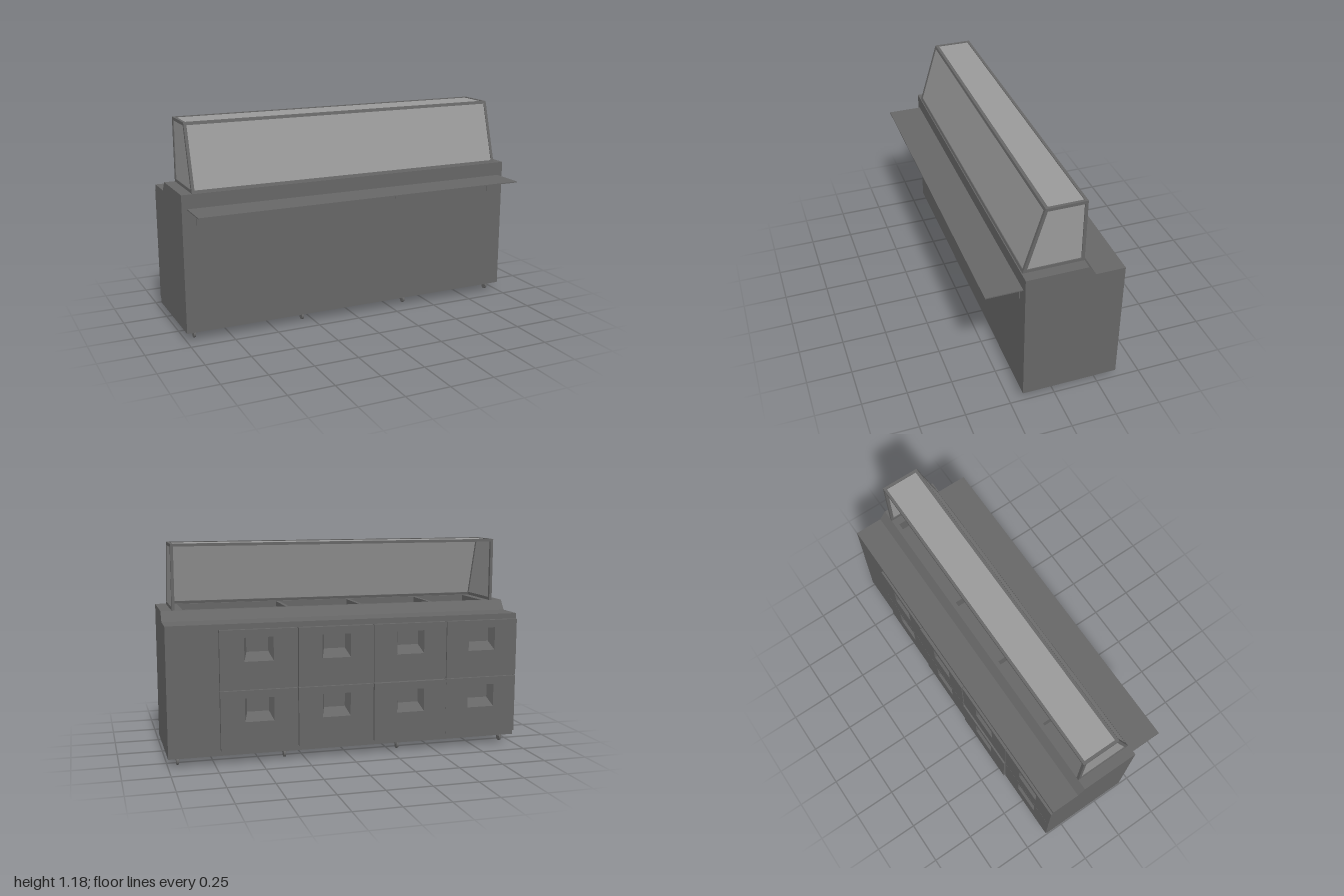
import * as THREE from 'three';

const steel = new THREE.MeshStandardMaterial({ color: 0x666666, side: THREE.DoubleSide });
const glass = new THREE.MeshStandardMaterial({ color: 0x999999, side: THREE.DoubleSide });

export function createModel() {
  const root = new THREE.Group();

  const add = (name, geo, mat = steel, parent = root) => {
    const mesh = new THREE.Mesh(geo, mat);
    mesh.name = name;
    parent.add(mesh);
    return mesh;
  };
  const group = (name) => {
    const g = new THREE.Group();
    g.name = name;
    root.add(g);
    return g;
  };
  // Box given by its limits
  const box = (name, x0, x1, y0, y1, z0, z1, parent, mat) => {
    const m = add(name, new THREE.BoxGeometry(x1 - x0, y1 - y0, z1 - z0), mat, parent);
    m.position.set((x0 + x1) / 2, (y0 + y1) / 2, (z0 + z1) / 2);
    return m;
  };
  // Side profile of [z, y] points run along x
  const prism = (name, pts, x0, x1, parent, mat, hole) => {
    const toV = ([z, y]) => new THREE.Vector2(-z, y);
    const shape = new THREE.Shape(pts.map(toV));
    if (hole) shape.holes.push(new THREE.Path(hole.map(toV)));
    const geo = new THREE.ExtrudeGeometry(shape, { depth: x1 - x0, bevelEnabled: false });
    geo.rotateY(Math.PI / 2).translate(x0, 0, 0);
    return add(name, geo, mat, parent);
  };

  // Cabinet, in slices: some have the food well, some the drawer bay
  const cabinet = group('cabinet');
  const BACK = -0.357, FRONT = 0.18, BAY = -0.3;
  const profile = (well, bay) => [
    [FRONT, 0.05], [FRONT, 0.82],
    ...(well ? [[0.145, 0.82], [0.145, 0.74], [-0.13, 0.74], [-0.13, 0.82]] : []),
    [-0.155, 0.82], [-0.195, 0.765], [BACK, 0.765],
    ...(bay ? [[BACK, 0.735], [BAY, 0.735], [BAY, 0.075], [BACK, 0.075]] : []),
    [BACK, 0.05],
  ];
  [
    [-1, -0.99, false, false], [-0.99, -0.88, false, true], [-0.88, 0.72, true, true],
    [0.72, 0.88, true, false], [0.88, 1, false, false],
  ].forEach(([x0, x1, well, bay]) => prism('cabinetBody', profile(well, bay), x0, x1, cabinet));

  // Dividers between the food pans
  for (const x of [0.29, -0.14, -0.57]) {
    box('panDivider', x - 0.01, x + 0.01, 0.74, 0.817, -0.13, 0.145, cabinet);
  }

  // Drawers on the back, each with a scooped finger pull
  const drawers = group('drawers');
  const rect = (C, x0, x1, y0, y1) => {
    const s = new C();
    s.moveTo(x0, y0);
    s.lineTo(x1, y0);
    s.lineTo(x1, y1);
    s.lineTo(x0, y1);
    s.closePath();
    return s;
  };
  const pullGeometry = (cx, cy, z) => {
    const w = 0.08, h = 0.065, d = 0.05;
    const pos = [
      [-w, -h, 0], [w, -h, 0], [w, h, 0], [-w, h, 0],
      [-w + 0.02, -h + 0.045, d], [w - 0.02, -h + 0.045, d], [w - 0.02, h, d], [-w + 0.02, h, d],
    ].flatMap(([x, y, dz]) => [cx + x, cy + y, z + dz]);
    const index = [4, 6, 5, 4, 7, 6];
    for (let i = 0; i < 4; i++) {
      const j = (i + 1) % 4;
      index.push(i, j + 4, j, i, i + 4, j + 4);
    }
    const geo = new THREE.BufferGeometry();
    geo.setAttribute('position', new THREE.Float32BufferAttribute(pos, 3));
    geo.setIndex(index);
    const flat = geo.toNonIndexed();
    flat.computeVertexNormals();
    return flat;
  };
  const columns = [[0.29, 0.72, -0.368], [-0.14, 0.29, -0.373], [-0.57, -0.14, -0.37], [-1, -0.57, -0.37]];
  columns.forEach(([x0, x1, faceZ], c) => {
    [0.075, 0.405].forEach((y0, r) => {
      const z = c === 2 && r === 0 ? -0.379 : faceZ; // one drawer stands slightly open
      const cx = (x0 + x1) / 2, cy = y0 + 0.22;
      const s = rect(THREE.Shape, c === 3 ? x0 : x0 + 0.002, x1 - 0.002, y0 + 0.002, y0 + 0.328);
      s.holes.push(rect(THREE.Path, cx - 0.08, cx + 0.08, cy - 0.065, cy + 0.065));
      const geo = new THREE.ExtrudeGeometry(s, { depth: BAY - z, bevelEnabled: false });
      add('drawerFront', geo.translate(0, 0, z), steel, drawers);
      add('drawerPull', pullGeometry(cx, cy, z), steel, drawers);
    });
  });

  // Glass guard: two end frames, long rails and panes, open to the back
  const guard = group('glassGuard');
  const slope = (y) => 0.175 - (0.11 * (y - 0.82)) / 0.36;
  const outer = [[0.175, 0.82], [0.065, 1.18], [-0.155, 1.18], [-0.155, 0.82]];
  const inner = [[0.152, 0.837], [0.054, 1.163], [-0.138, 1.163], [-0.138, 0.837]];
  for (const s of [-1, 1]) {
    const x = s * 0.932;
    prism('endFrame', outer, x - 0.008, x + 0.008, guard, steel, inner);
    prism('endPane', inner, x - 0.003, x + 0.003, guard, glass);
  }
  const slanted = (y0, y1, inset, t) => [
    [slope(y0) - inset, y0], [slope(y1) - inset, y1],
    [slope(y1) - inset - t, y1], [slope(y0) - inset - t, y0],
  ];
  const L = 0.925;
  prism('frontBottomRail', slanted(0.82, 0.835, 0, 0.017), -L, L, guard);
  prism('frontTopRail', slanted(1.165, 1.18, 0, 0.017), -L, L, guard);
  prism('frontPane', slanted(0.835, 1.165, 0.004, 0.006), -L, L, guard, glass);
  box('backTopRail', -L, L, 1.165, 1.18, -0.155, -0.14, guard);
  box('topPane', -L, L, 1.17, 1.176, -0.14, 0.05, guard, glass);

  // Tray shelf on thin L-shaped brackets
  const shelf = group('trayShelf');
  box('shelfBoard', -0.97, 0.97, 0.736, 0.742, FRONT, 0.378, shelf);
  for (const x of [-0.91, -0.28, 0.28, 0.91]) {
    prism('shelfBracket',
      [[FRONT, 0.65], [0.185, 0.65], [0.185, 0.731], [0.28, 0.731], [0.28, 0.737], [FRONT, 0.737]],
      x - 0.015, x + 0.015, shelf);
  }

  // Casters
  const casters = group('casters');
  for (const x of [-0.945, -0.305, 0.355, 0.945]) {
    for (const z of [0.12, -0.29]) {
      const wheel = add('casterWheel', new THREE.CylinderGeometry(0.02, 0.02, 0.012, 16), steel, casters);
      wheel.rotation.z = Math.PI / 2;
      wheel.position.set(x, 0.02, z);
      box('casterFork', x - 0.011, x + 0.011, 0.026, 0.052, z - 0.012, z + 0.012, casters);
    }
  }
  return root;
}
